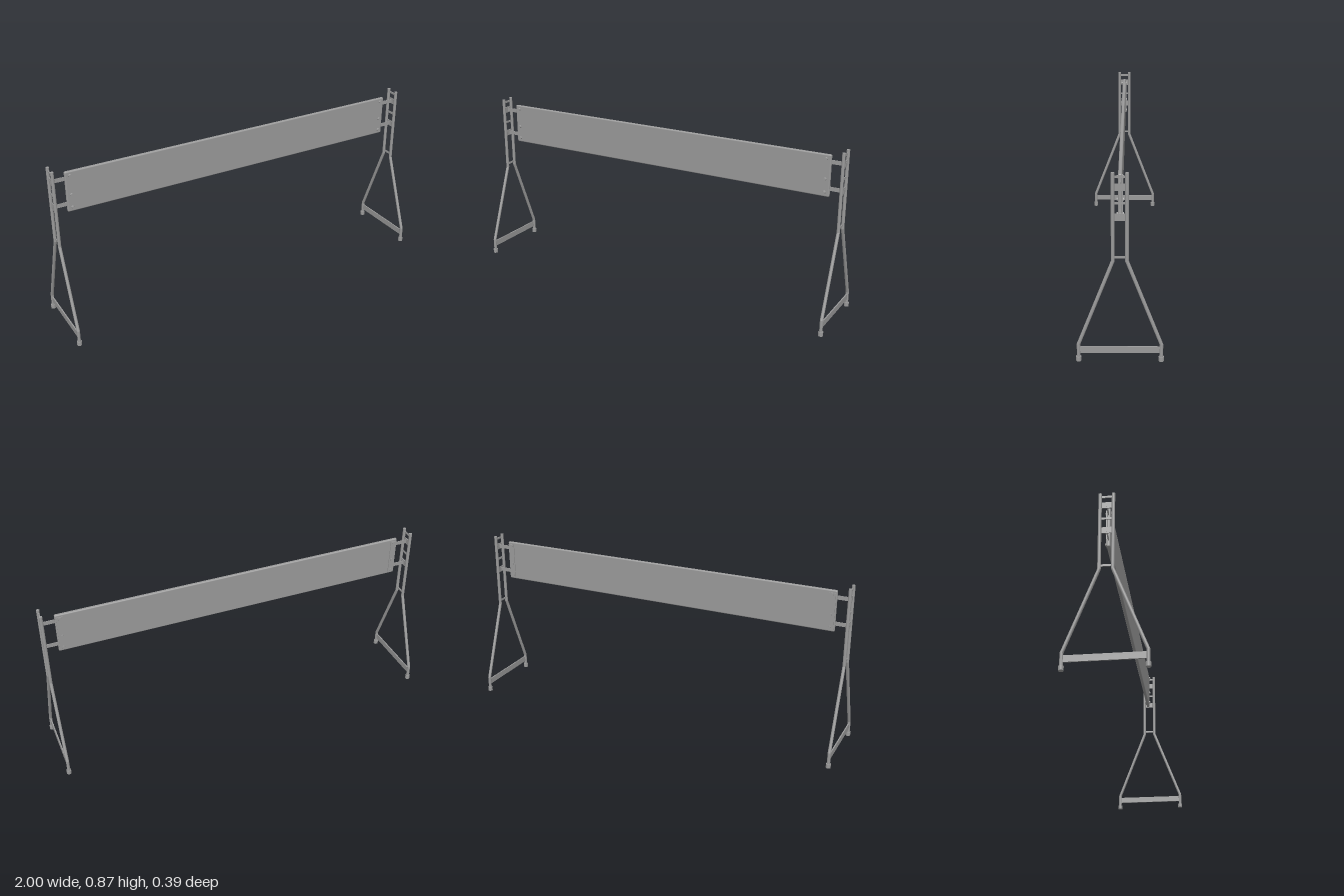
import * as THREE from 'three';
import { RoundedBoxGeometry } from 'three/addons/geometries/RoundedBoxGeometry.js';

// Dark grey painted steel
const material = new THREE.MeshStandardMaterial({ color: 0x999999 });

function add(parent, name, geometry, x, y, z) {
  const mesh = new THREE.Mesh(geometry, material);
  mesh.name = name;
  mesh.position.set(x, y, z);
  parent.add(mesh);
  return mesh;
}

// Round bar between two points
function bar(parent, name, a, b, radius) {
  const dir = b.clone().sub(a);
  const mid = a.clone().add(b).multiplyScalar(0.5);
  const mesh = add(parent, name, new THREE.CylinderGeometry(radius, radius, dir.length(), 20), mid.x, mid.y, mid.z);
  mesh.quaternion.setFromUnitVectors(new THREE.Vector3(0, 1, 0), dir.normalize());
}

// Trestle standing in the yz plane
function createTrestle(side) {
  const trestle = new THREE.Group();
  trestle.name = side > 0 ? 'leftTrestle' : 'rightTrestle';
  const r = 0.008;
  for (const s of [1, -1]) {
    // Bent tubular leg
    const points = [[0.002, 0.181], [0.08, 0.181], [0.475, 0.03], [0.867, 0.03]]
      .map(([y, z]) => new THREE.Vector3(0, y, s * z));
    for (let i = 0; i < 3; i++) bar(trestle, 'leg', points[i], points[i + 1], r);
    for (const p of points.slice(1, 3)) add(trestle, 'legBend', new THREE.SphereGeometry(r, 20, 12), p.x, p.y, p.z);
    add(trestle, 'foot', new THREE.CylinderGeometry(0.012, 0.012, 0.021, 24), 0, 0.0105, s * 0.181);
  }
  // Flat rungs between the posts
  for (const y of [0.493, 0.735, 0.85]) {
    add(trestle, 'rung', new THREE.BoxGeometry(0.004, 0.01, 0.048), 0, y, 0);
  }
  // Flat stretcher near the ground
  add(trestle, 'stretcher', new THREE.BoxGeometry(0.006, 0.031, 0.35), 0, 0.054, 0);
  // Cross plates and the flat arms passing through them
  for (const y of [0.673, 0.805]) {
    add(trestle, 'crossPlate', new THREE.BoxGeometry(0.004, 0.031, 0.044), 0, y, 0);
    add(trestle, 'arm', new THREE.BoxGeometry(0.1, 0.02, 0.003), -side * 0.046, y, 0);
  }
  trestle.position.x = side * 0.988;
  return trestle;
}

export function createModel() {
  const model = new THREE.Group();
  model.name = 'barrier';

  // Long board with rounded edges
  add(model, 'board', new RoundedBoxGeometry(1.844, 0.208, 0.017, 3, 0.006), 0, 0.736, 0);

  for (const side of [1, -1]) {
    model.add(createTrestle(side));
    // Backing strip at the board end
    add(model, 'endStrip', new THREE.BoxGeometry(0.032, 0.184, 0.006), side * 0.901, 0.736, -0.0095);
    // Through bolts with flat heads in front and nuts behind
    for (const y of [0.655, 0.72, 0.82]) {
      const head = add(model, 'boltHead', new THREE.CylinderGeometry(0.006, 0.008, 0.008, 16), side * 0.898, y, 0.012);
      head.rotation.x = Math.PI / 2;
      const nut = add(model, 'nut', new THREE.CylinderGeometry(0.008, 0.008, 0.005, 6), side * 0.898, y, -0.0145);
      nut.rotation.x = Math.PI / 2;
    }
  }
  return model;
}
